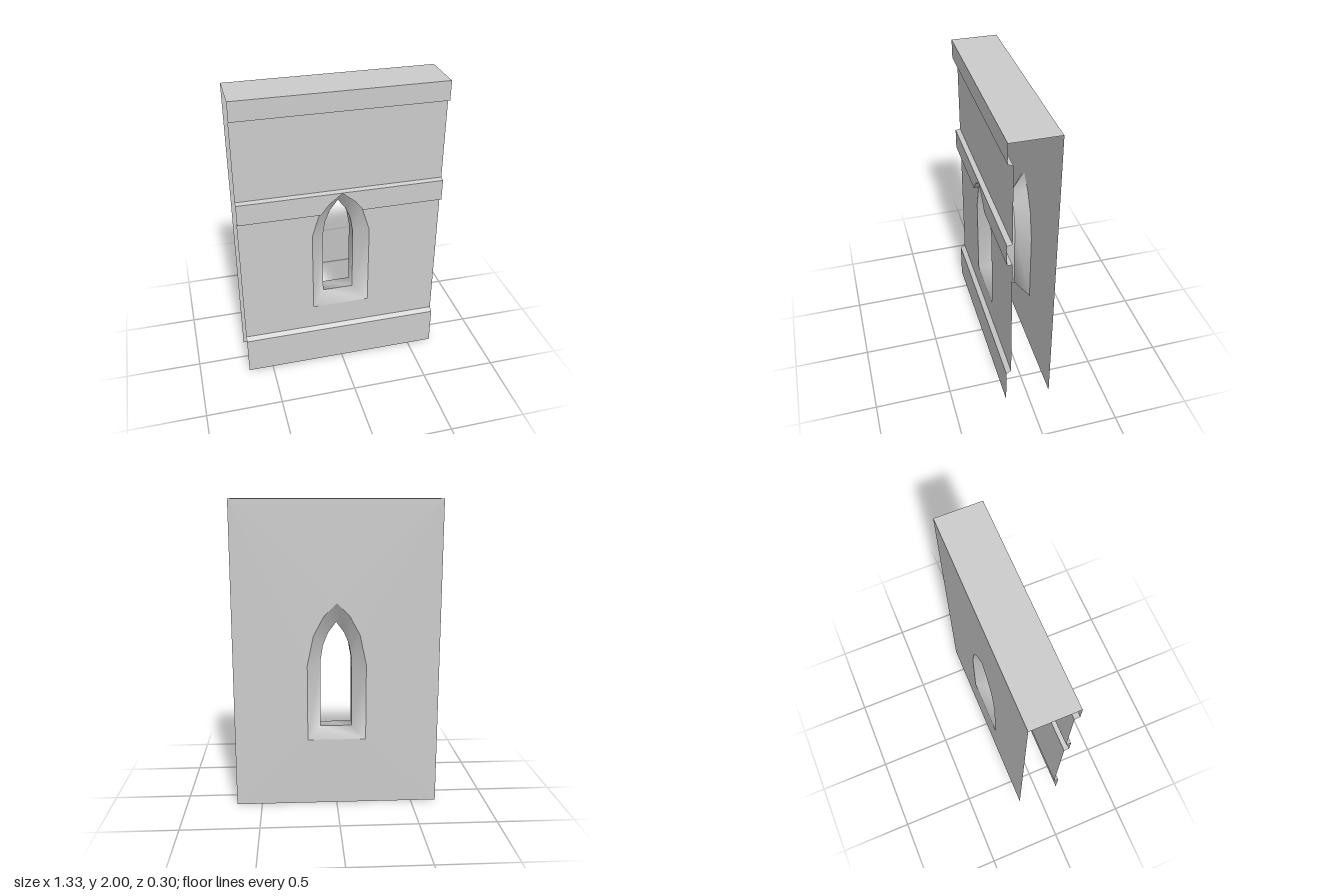
import * as THREE from 'three';

const W = 0.667;                 // half width of the wall
const Z = 0.15, WALL = 0.118;    // projecting courses, recessed wall plane

const material = new THREE.MeshStandardMaterial({ color: 0xcccccc, side: THREE.DoubleSide });

function add(group, name, geometry) {
  const mesh = new THREE.Mesh(geometry, material);
  mesh.name = name;
  group.add(mesh);
  return mesh;
}

// Mirrors the right half of an outline (bottom to apex) to the left.
function mirrored(half) {
  const left = half.slice(0, -1).reverse().map(([x, y]) => [-x, y]);
  return [...half, ...left];
}

const at = (points, z) => points.map(([x, y]) => [x, y, z]);
const row = (y, z, x0 = -W, x1 = W) => [[x0, y, z], [x1, y, z]];

// Surface between two rows of points, smooth along the row.
function loft(a, b, closed = false) {
  const n = a.length, index = [];
  for (let i = 0; i < (closed ? n : n - 1); i++) {
    const j = (i + 1) % n;
    index.push(i, j, n + i, j, n + j, n + i);
  }
  const geometry = new THREE.BufferGeometry();
  geometry.setAttribute('position', new THREE.Float32BufferAttribute([...a, ...b].flat(), 3));
  geometry.setIndex(index);
  geometry.computeVertexNormals();
  return geometry;
}

// Flat sheet facing +z, with an optional hole.
function sheet(points, z, hole) {
  const vectors = (list) => list.map(([x, y]) => new THREE.Vector2(x, y));
  const shape = new THREE.Shape(vectors(points));
  if (hole) shape.holes.push(new THREE.Path(vectors(hole)));
  return new THREE.ShapeGeometry(shape).translate(0, 0, z);
}

export function createModel() {
  const group = new THREE.Group();
  group.name = 'windowWall';

  // Pointed window outlines: front face, inner tunnel, back face
  const front = mirrored([[0.191, 0.445], [0.191, 1.015], [0.138, 1.189], [0.085, 1.258], [0, 1.327]]);
  const inner = mirrored([[0.103, 0.513], [0.103, 0.962], [0.085, 1.068], [0.053, 1.147], [0, 1.219]]);
  const back = mirrored([[0.191, 0.445], [0.191, 0.95], [0.15, 1.145], [0.085, 1.267], [0, 1.354]]);
  const arch = front.slice(2, 7);          // part of the arch cutting the string course
  const jambs = [...front.slice(7), ...front.slice(0, 2)]; // left jamb, sill, right jamb

  // Plinth with sloping top
  add(group, 'plinth', loft(row(0, Z), row(0.259, Z)));
  add(group, 'plinthSlope', loft(row(0.259, Z), row(0.277, WALL)));

  // Lower wall, open at the top where the window passes into the course
  add(group, 'lowerWall', sheet([
    [-W, 0.277], [W, 0.277], [W, 1.187], [0.138, 1.187],
    ...jambs.slice().reverse(), [-0.138, 1.187], [-W, 1.187],
  ], WALL));

  // String course, notched by the arch
  for (const [x0, x1] of [[-W, -0.138], [0.138, W]]) {
    add(group, 'stringCourseUnderside', loft(row(1.187, WALL, x0, x1), row(1.192, Z, x0, x1)));
  }
  add(group, 'stringCourse', sheet([
    ...arch.slice().reverse(), [W, 1.19], [W, 1.33], [-W, 1.33], [-W, 1.19],
  ], Z));
  add(group, 'stringCourseSlope', loft(row(1.33, Z), row(1.338, WALL)));

  // Upper wall, cornice and top
  add(group, 'upperWall', loft(row(1.338, WALL), row(1.861, WALL)));
  add(group, 'corniceUnderside', loft(row(1.861, WALL), row(1.874, Z)));
  add(group, 'cornice', loft(row(1.874, Z), row(2, Z)));
  add(group, 'top', loft(row(2, Z), row(2, -Z)));

  // Back wall
  add(group, 'backWall', sheet([[-W, 0], [W, 0], [W, 2], [-W, 2]], Z, back)).rotation.y = Math.PI;

  // Window reveal: notch through the course, front splay, tunnel, back splay
  add(group, 'courseReveal', loft(at(arch, Z), at(arch, WALL)));
  add(group, 'frontSplay', loft(at(front, WALL), at(inner, 0.034), true));
  add(group, 'windowTunnel', loft(at(inner, 0.034), at(inner, -0.064), true));
  add(group, 'backSplay', loft(at(inner, -0.064), at(back, -Z), true));

  return group;
}
